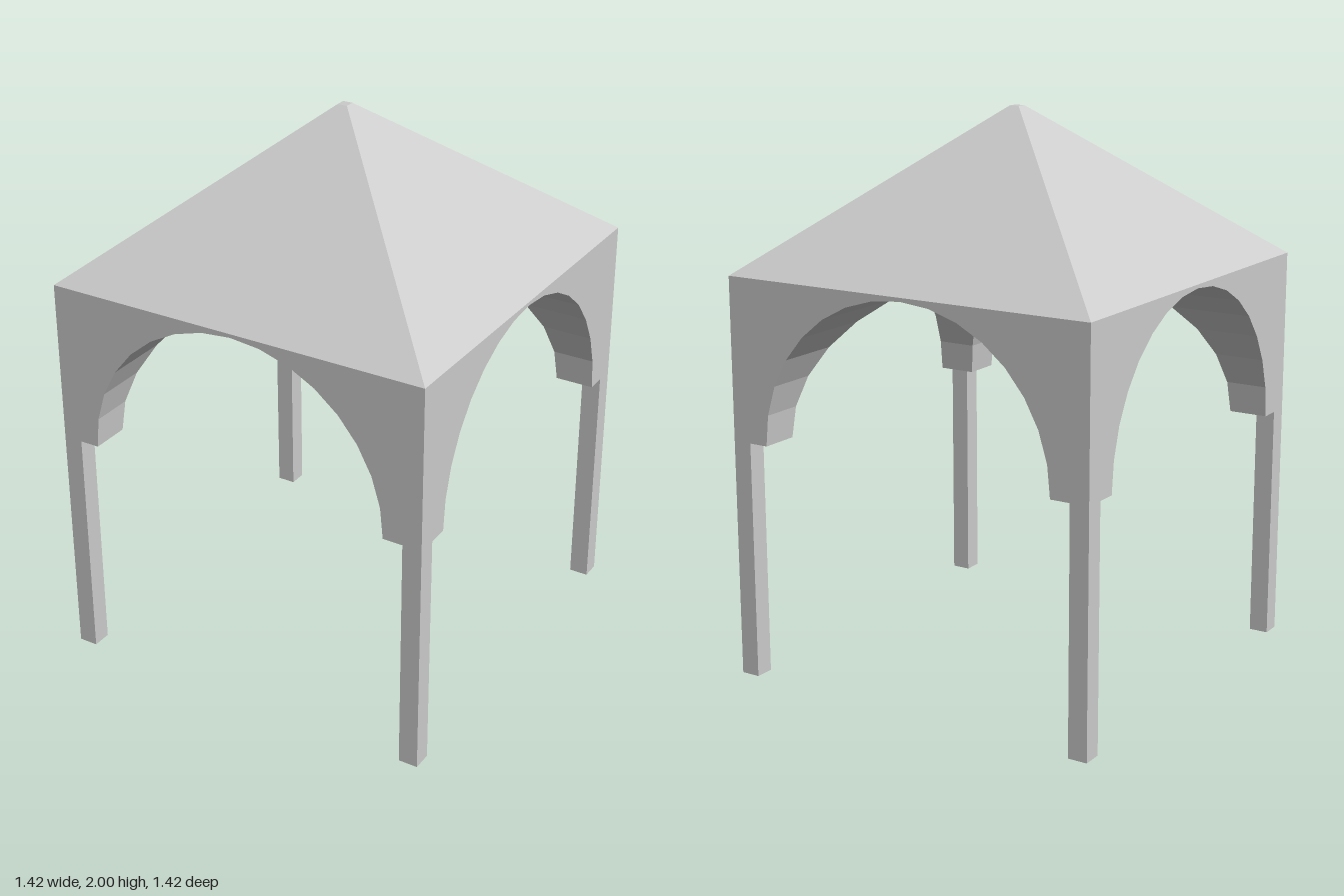
import * as THREE from 'three';

const HALF = 0.712;     // half width of the pavilion
const SPRING = 0.862;   // height where the arches start
const EAVE = 1.445;     // height where the roof starts
const TOP = 2;
const RADIUS = 0.57;    // arch radius
const POST = 0.07;      // post thickness
const SEGMENTS = 16;

const material = new THREE.MeshStandardMaterial({ color: 0xcccccc, flatShading: true });

function add(parent, name, geometry) {
  const mesh = new THREE.Mesh(geometry, material);
  mesh.name = name;
  parent.add(mesh);
  return mesh;
}

// Half-circle arch points from -x to +x
function archPoints() {
  const points = [];
  for (let i = 0; i <= SEGMENTS; i++) {
    const a = Math.PI * (1 - i / SEGMENTS);
    points.push(new THREE.Vector2(RADIUS * Math.cos(a), SPRING + RADIUS * Math.sin(a)));
  }
  return points;
}

// Wall panel with the arch cut out of its lower edge
function wallGeometry(arch) {
  const shape = new THREE.Shape([
    new THREE.Vector2(-HALF, SPRING),
    ...arch,
    new THREE.Vector2(HALF, SPRING),
    new THREE.Vector2(HALF, EAVE),
    new THREE.Vector2(-HALF, EAVE),
  ]);
  return new THREE.ShapeGeometry(shape).translate(0, 0, HALF);
}

// One quarter of the groin vault: strips from the wall back to the diagonals
function vaultGeometry(arch) {
  const positions = [];
  for (let i = 0; i < SEGMENTS; i++) {
    const p = arch[i], q = arch[i + 1];
    const a = [p.x, p.y, HALF], b = [q.x, q.y, HALF];
    const c = [q.x, q.y, Math.abs(q.x)], d = [p.x, p.y, Math.abs(p.x)];
    positions.push(...a, ...d, ...c, ...a, ...c, ...b);
  }
  const geometry = new THREE.BufferGeometry();
  geometry.setAttribute('position', new THREE.Float32BufferAttribute(positions, 3));
  geometry.computeVertexNormals();
  return geometry;
}

export function createModel() {
  const model = new THREE.Group();
  model.name = 'pavilion';

  const arch = archPoints();
  const wall = wallGeometry(arch);
  const vault = vaultGeometry(arch);

  // Post flush with the outer corner, and the flat underside of the arch foot
  const post = new THREE.BoxGeometry(POST, SPRING, POST)
    .translate(HALF - POST / 2, SPRING / 2, HALF - POST / 2);
  const foot = new THREE.PlaneGeometry(HALF - RADIUS, HALF - RADIUS)
    .rotateX(Math.PI / 2)
    .translate((HALF + RADIUS) / 2, SPRING, (HALF + RADIUS) / 2);

  // Four identical sides, each with one corner
  for (let i = 0; i < 4; i++) {
    const side = new THREE.Group();
    side.name = 'side' + (i + 1);
    side.rotation.y = i * Math.PI / 2;
    add(side, 'archedWall', wall);
    add(side, 'vaultQuarter', vault);
    add(side, 'archFoot', foot);
    add(side, 'post', post);
    model.add(side);
  }

  // Pyramid roof with a tiny flat top
  const roof = new THREE.CylinderGeometry(
    0.018 * Math.SQRT2, HALF * Math.SQRT2, TOP - EAVE, 4, 1, false, Math.PI / 4);
  add(model, 'roof', roof).position.y = (TOP + EAVE) / 2;

  return model;
}
